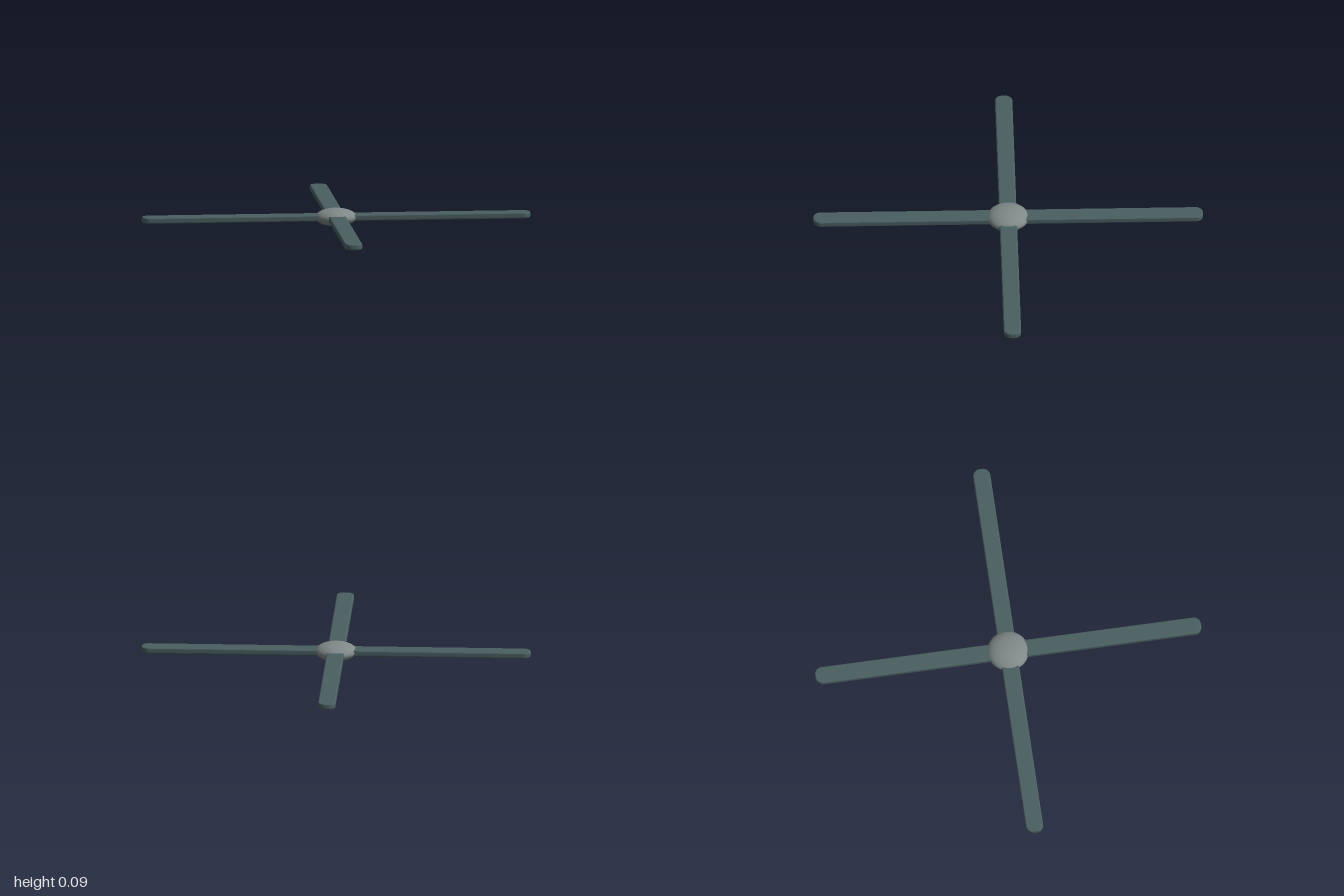
import * as THREE from 'three';

const HALF_LENGTH = 1, HALF_WIDTH = 0.045, THICKNESS = 0.032, MID_Y = 0.046;

// Rounded-end bar lying flat along x, with softly bevelled edges
function barGeometry() {
  const bevel = 0.008, r = 0.03;
  const x = HALF_LENGTH - bevel, y = HALF_WIDTH - bevel;
  const s = new THREE.Shape();
  s.moveTo(-x + r, -y);
  s.lineTo(x - r, -y);
  s.absarc(x - r, -y + r, r, -Math.PI / 2, 0);
  s.absarc(x - r, y - r, r, 0, Math.PI / 2);
  s.lineTo(-x + r, y);
  s.absarc(-x + r, y - r, r, Math.PI / 2, Math.PI);
  s.absarc(-x + r, -y + r, r, Math.PI, Math.PI * 1.5);
  const geo = new THREE.ExtrudeGeometry(s, {
    depth: THICKNESS - 2 * bevel, bevelEnabled: true,
    bevelThickness: bevel, bevelSize: bevel, bevelSegments: 4, curveSegments: 8,
  });
  return geo.center().rotateX(-Math.PI / 2);
}

export function createModel() {
  const group = new THREE.Group();
  group.name = 'rotor';

  const bladeMaterial = new THREE.MeshStandardMaterial({ color: 0x4a5f61 });
  bladeMaterial.name = 'dark slate';
  const hubMaterial = new THREE.MeshStandardMaterial({ color: 0x808888 });
  hubMaterial.name = 'grey metal';

  // Two crossed bars make the four blades
  const bar = barGeometry();
  ['sideBlades', 'frontBackBlades'].forEach((name, i) => {
    const blades = new THREE.Mesh(bar, bladeMaterial);
    blades.name = name;
    blades.position.y = MID_Y;
    blades.rotation.y = i * Math.PI / 2;
    group.add(blades);
  });

  // Flattened round hub
  const hub = new THREE.Mesh(new THREE.SphereGeometry(1, 32, 20), hubMaterial);
  hub.name = 'hub';
  hub.scale.set(0.107, MID_Y, 0.107);
  hub.position.y = MID_Y;
  group.add(hub);

  return group;
}
